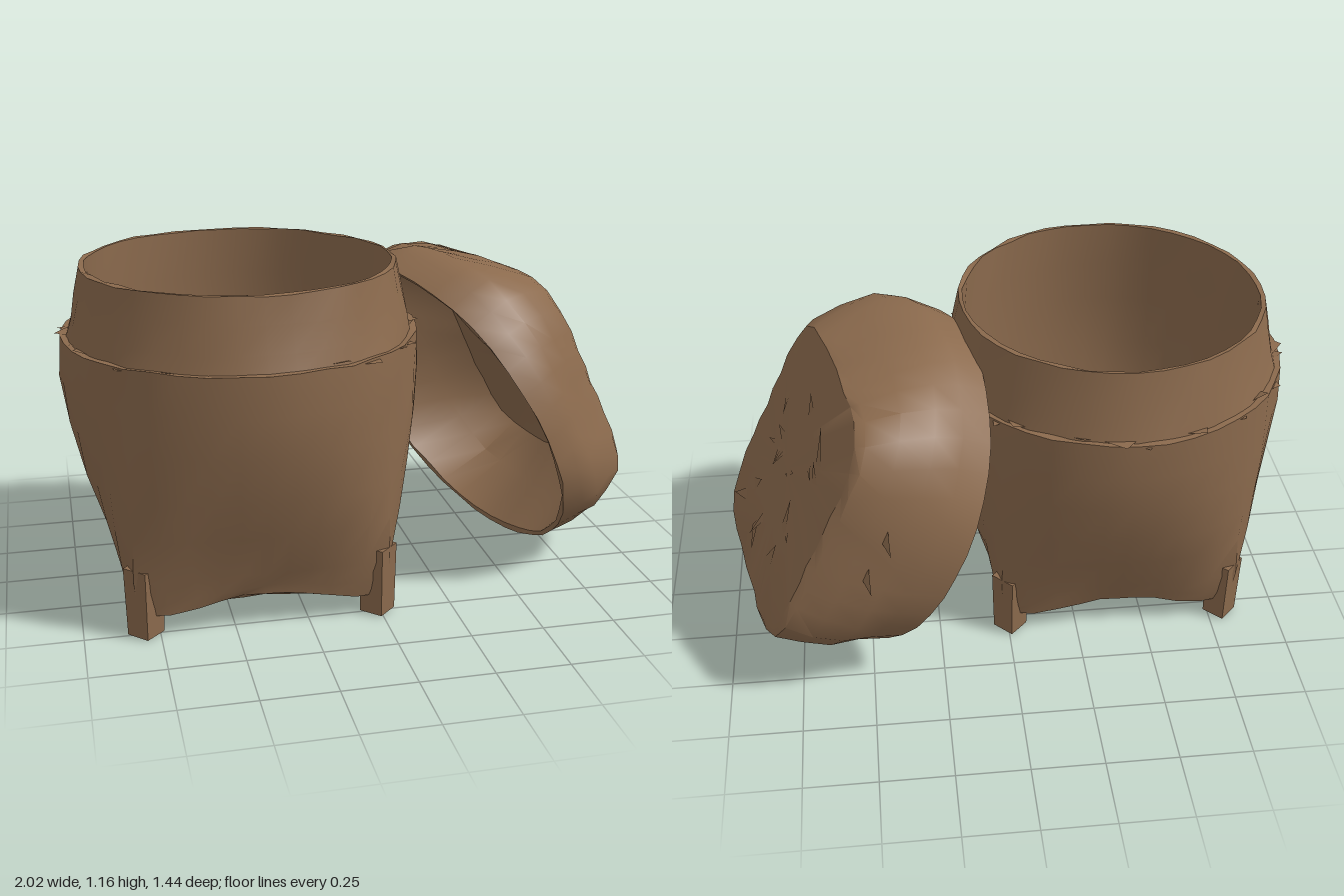
import * as THREE from 'three';
import { toCreasedNormals, mergeGeometries } from 'three/addons/utils/BufferGeometryUtils.js';

const SIDES = 40;

// Seeded random numbers for the hand-woven irregularity
function makeRandom(seed) {
  return () => {
    seed = (seed * 16807) % 2147483647;
    return seed / 2147483647;
  };
}

// Skin a stack of superellipse sections: p = 2 is round, larger is squarer.
// arch lifts the middle of each side above the corners, tilt slopes along z.
function loft(sections, wobble, seed) {
  const random = makeRandom(seed);
  const positions = [];
  const index = [];
  for (const { y, r, p = 2, cx = 0, cz = 0, arch = 0, tilt = 0 } of sections) {
    for (let j = 0; j < SIDES; j++) {
      const a = (j / SIDES) * Math.PI * 2;
      const c = Math.cos(a), s = Math.sin(a);
      const k = r / Math.pow(Math.abs(c) ** p + Math.abs(s) ** p, 1 / p);
      const shake = 1 + (random() - 0.5) * wobble;
      const lift = arch * Math.cos(2 * a) ** 2 + tilt * k * s
        + (random() - 0.5) * wobble * 0.5 * Math.min(1, r * 4);
      positions.push(cx + k * c * shake, y + lift, cz + k * s * shake);
    }
  }
  for (let i = 0; i < sections.length - 1; i++) {
    for (let j = 0; j < SIDES; j++) {
      const a = i * SIDES + j, b = i * SIDES + ((j + 1) % SIDES);
      const c = a + SIDES, d = b + SIDES;
      index.push(a, c, b, b, c, d);
    }
  }
  const geometry = new THREE.BufferGeometry();
  geometry.setAttribute('position', new THREE.Float32BufferAttribute(positions, 3));
  geometry.setIndex(index);
  return toCreasedNormals(geometry, 0.6);
}

// Loose pointed straw end, flat in its own xy plane
function strawEnd(length, width) {
  const geometry = new THREE.BufferGeometry();
  geometry.setAttribute('position', new THREE.Float32BufferAttribute(
    [-width / 2, 0, 0, width / 2, 0, 0, width * 0.2, length, 0], 3));
  geometry.computeVertexNormals();
  return geometry;
}

export function createModel() {
  const model = new THREE.Group();
  const straw = new THREE.MeshStandardMaterial({ color: 0x8b6a4d, side: THREE.DoubleSide });
  straw.name = 'woven straw brown';

  function add(parent, name, geometry) {
    const mesh = new THREE.Mesh(geometry, straw);
    mesh.name = name;
    parent.add(mesh);
    return mesh;
  }

  // Basket: square foot with upright corners, sides swelling into a round shoulder
  const basket = new THREE.Group();
  basket.name = 'basket';
  basket.position.set(-0.402, 0, 0.1);
  model.add(basket);

  add(basket, 'basketBody', loft([
    { y: 0.06, r: 0.002 },
    { y: 0.062, r: 0.2, p: 3 },
    { y: 0.07, r: 0.35, p: 6, arch: 0.015 },
    { y: 0.08, r: 0.43, p: 16, arch: 0.05 },
    { y: 0.13, r: 0.44, p: 16, arch: 0.03 },
    { y: 0.21, r: 0.458, p: 11 },
    { y: 0.36, r: 0.508, p: 4 },
    { y: 0.5, r: 0.555, p: 2.7 },
    { y: 0.66, r: 0.595, p: 2.12 },
    { y: 0.8, r: 0.613, p: 1.95 },
    { y: 0.935, r: 0.608, p: 1.95 },
    { y: 0.935, r: 0.57 },
  ], 0.016, 11));

  // Flaring collar and lining in one continuous skin
  add(basket, 'collarAndLining', loft([
    { y: 0.92, r: 0.588 },
    { y: 0.99, r: 0.57 },
    { y: 1.08, r: 0.55 },
    { y: 1.168, r: 0.533 },
    { y: 1.168, r: 0.517 },
    { y: 1.0, r: 0.522 },
    { y: 0.85, r: 0.53 },
    { y: 0.66, r: 0.53 },
    { y: 0.42, r: 0.495, p: 2.5 },
    { y: 0.26, r: 0.46, p: 3.4 },
    { y: 0.16, r: 0.42, p: 4.5 },
    { y: 0.115, r: 0.35, p: 4.5 },
    { y: 0.1, r: 0.18, p: 3 },
    { y: 0.1, r: 0.002 },
  ], 0.014, 23));

  // Four legs facing the diagonals, merging into the body corners
  for (const sx of [-1, 1]) {
    for (const sz of [-1, 1]) {
      const leg = add(basket, 'cornerLeg', new THREE.CylinderGeometry(0.066, 0.06, 0.24, 4).toNonIndexed());
      leg.geometry.computeVertexNormals();
      leg.position.set(sx * 0.394, 0.13, sz * 0.394);
    }
  }

  // Frayed straw ends sticking out around the shoulder
  const random = makeRandom(77);
  const shoulderEnds = [];
  for (let i = 0; i < 26; i++) {
    const a = ((i + random() * 0.8) / 26) * Math.PI * 2;
    const end = strawEnd(0.03 + random() * 0.04, 0.08 + random() * 0.08);
    end.rotateX(1.1 + random() * 0.7);
    end.translate(0, 0.925 + random() * 0.015, 0.565);
    end.rotateY(a);
    shoulderEnds.push(end);
  }
  add(basket, 'shoulderStrawEnds', mergeGeometries(shoulderEnds));

  // Lid: hollow, round mouth and square crown, leaning on the basket
  const lid = new THREE.Group();
  lid.name = 'lid';
  const axis = new THREE.Vector3(0.88, 0.44, -0.2).normalize();
  const across = new THREE.Vector3(0, 0, 1).addScaledVector(axis, -axis.z).normalize();
  const down = new THREE.Vector3().crossVectors(axis, across);
  lid.quaternion.setFromRotationMatrix(new THREE.Matrix4().makeBasis(down, axis, across));
  lid.rotateY(0.07);
  lid.position.set(0.42, 0.57, -0.03);
  model.add(lid);

  add(lid, 'lidShell', loft([
    { y: 0.325, r: 0.002, cx: 0.05, cz: -0.06 },
    { y: 0.325, r: 0.2, p: 4, cx: 0.05, cz: -0.06 },
    { y: 0.31, r: 0.41, p: 5, cx: 0.05, cz: -0.06 },
    { y: 0.16, r: 0.515, p: 3.2, cx: 0.02, cz: -0.03 },
    { y: -0.035, r: 0.585, tilt: 0.1 },
    { y: -0.04, r: 0.604, tilt: 0.1 },
    { y: 0.06, r: 0.6, p: 2.2, cz: -0.01, tilt: 0.06 },
    { y: 0.15, r: 0.57, p: 2.8, cx: 0.01, cz: -0.03, tilt: 0.03 },
    { y: 0.25, r: 0.515, p: 3.8, cx: 0.03, cz: -0.05 },
    { y: 0.345, r: 0.453, p: 5.5, cx: 0.054, cz: -0.07 },
    { y: 0.365, r: 0.43, p: 5.5, cx: 0.054, cz: -0.07 },
    { y: 0.375, r: 0.2, p: 4, cx: 0.05, cz: -0.06 },
    { y: 0.375, r: 0.002, cx: 0.05, cz: -0.06 },
  ], 0.016, 41));

  // Straw ends lying along the lid crown
  const crownEnds = [];
  for (let i = 0; i < 18; i++) {
    const end = strawEnd(0.08 + random() * 0.07, 0.03 + random() * 0.04);
    end.rotateX(-Math.PI / 2 + 0.12);
    end.rotateY(random() * Math.PI * 2);
    end.translate(0.06 + (random() - 0.5) * 0.6, 0.371, -0.05 + (random() - 0.5) * 0.6);
    crownEnds.push(end);
  }
  // Two longer stray ends on the far side
  for (const x of [-0.1, 0.06]) {
    const end = strawEnd(0.11, 0.06);
    end.rotateX(-Math.PI / 2);
    end.translate(x, 0.2, -0.56);
    crownEnds.push(end);
  }
  add(lid, 'lidStrawEnds', mergeGeometries(crownEnds));

  return model;
}
